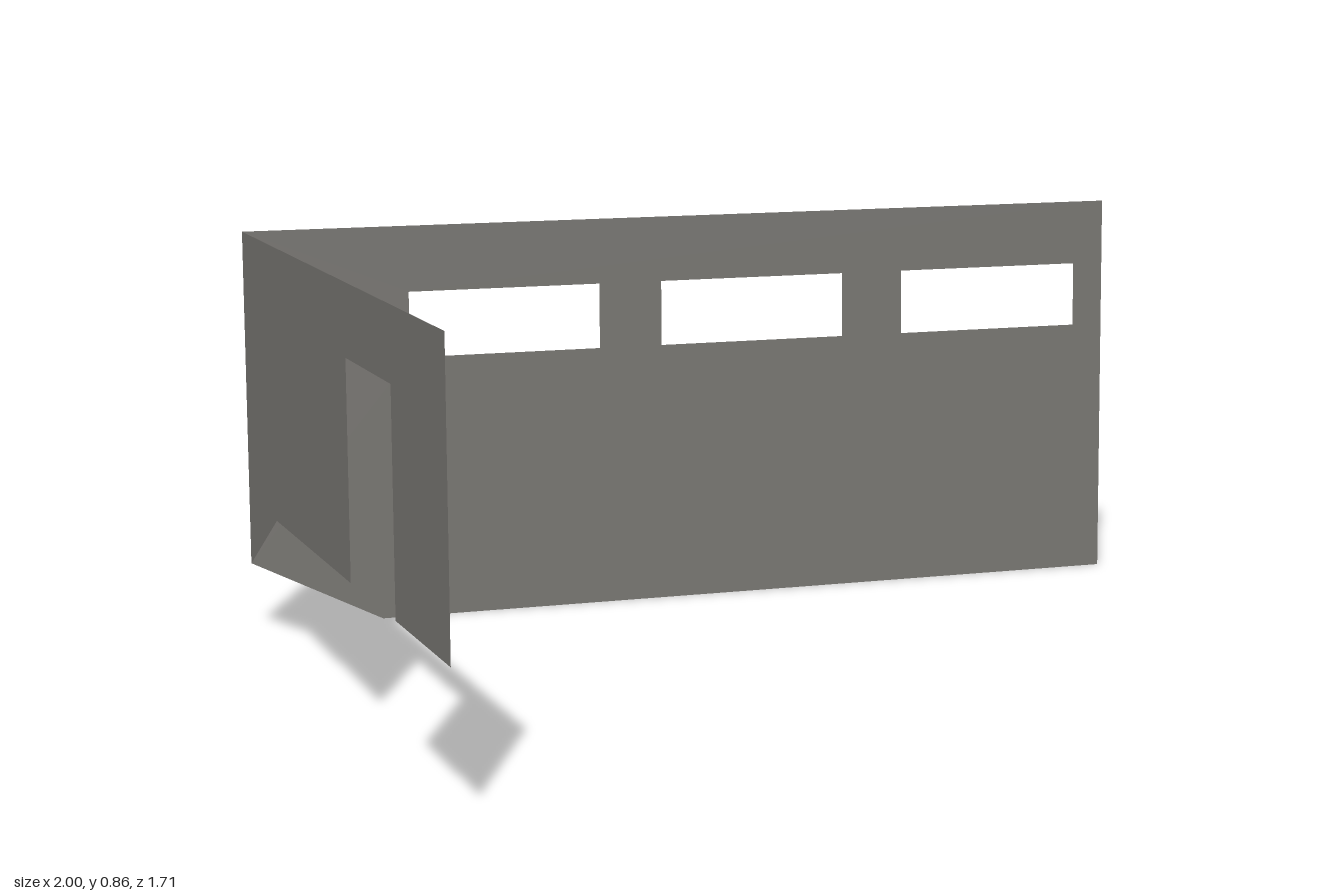
import * as THREE from 'three';

// The walls lie on a regular module of 1/14 unit
const U = 1 / 14;
const points = (list) => list.map(([a, b]) => new THREE.Vector2(a * U, b * U));

// Thin wall from an outline, with optional rectangular openings [left, bottom, width, height]
function wall(name, outline, openings, material) {
  const shape = new THREE.Shape(points(outline));
  for (const [x, y, w, h] of openings) {
    shape.holes.push(new THREE.Path(points([[x, y], [x, y + h], [x + w, y + h], [x + w, y]])));
  }
  const mesh = new THREE.Mesh(new THREE.ShapeGeometry(shape), material);
  mesh.name = name;
  return mesh;
}

export function createModel() {
  const model = new THREE.Group();
  model.name = 'cornerWalls';

  const wallGrey = new THREE.MeshStandardMaterial({ color: 0x7a7874, side: THREE.DoubleSide });
  wallGrey.name = 'wallGrey';

  // Back wall with a row of three windows and a sloped lower corner
  const windows = [-9, -1, 7].map((x) => [x, 8, 6, 2]);
  const backWall = wall('backWall',
    [[-14, 2], [-10, 0], [14, 0], [14, 12], [-14, 12]], windows, wallGrey);
  backWall.position.z = -12 * U;

  // Side wall with a doorway open at the bottom; its outline runs along z
  const sideWall = wall('sideWall',
    [[-12, 2], [-8, 4], [1.5, 4], [1.5, 10], [6.5, 10], [6.5, 4], [12, 4], [12, 12], [-12, 12]],
    [], wallGrey);
  sideWall.rotation.y = -Math.PI / 2;
  sideWall.position.x = -14 * U;

  model.add(backWall, sideWall);
  return model;
}
